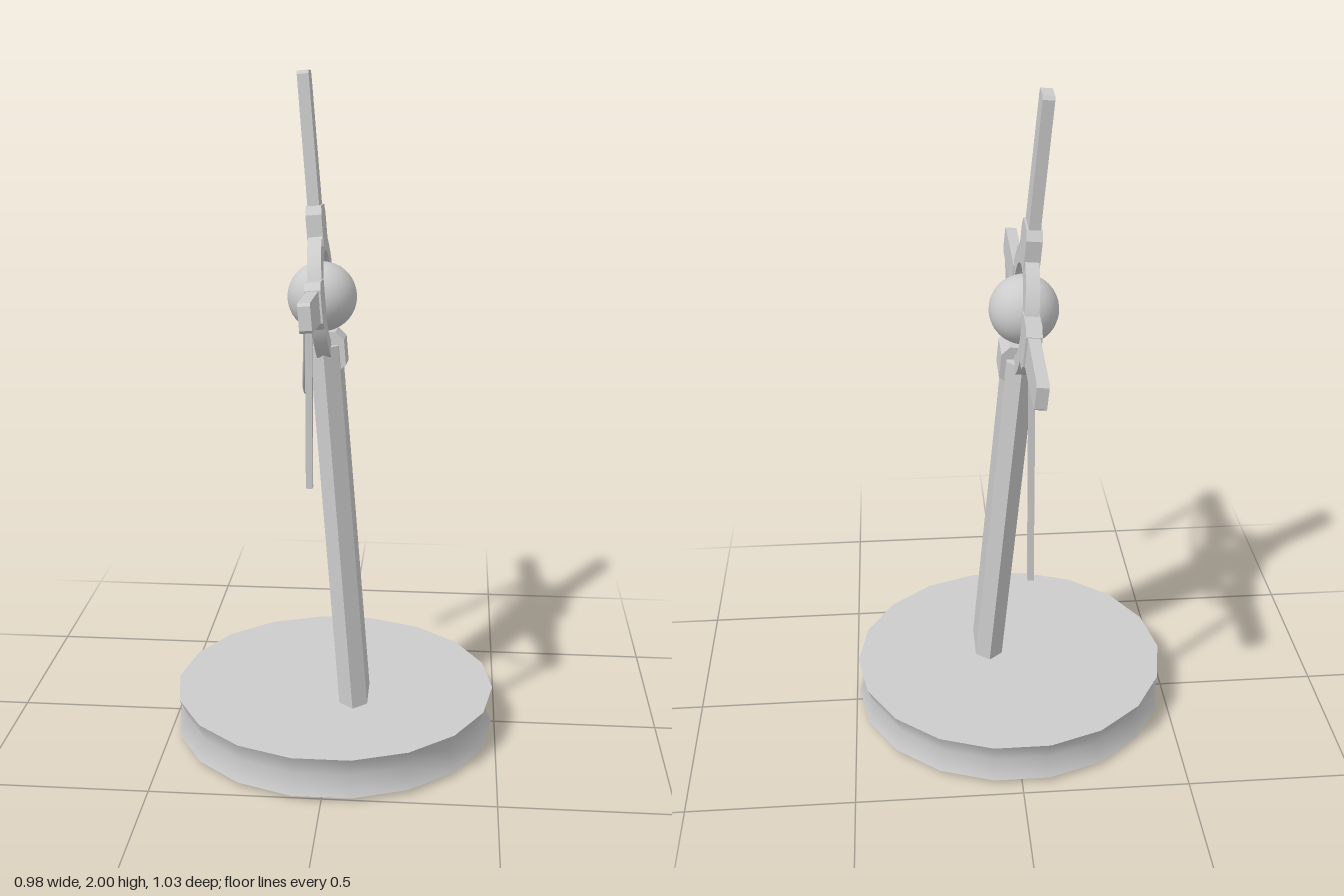
import * as THREE from 'three';
import { toCreasedNormals } from 'three/addons/utils/BufferGeometryUtils.js';

const grey = new THREE.MeshStandardMaterial({ color: 0xcccccc });
const flat = new THREE.MeshStandardMaterial({ color: 0xcccccc, flatShading: true });

function part(parent, name, geometry, material = flat) {
  const mesh = new THREE.Mesh(geometry, material);
  mesh.name = name;
  parent.add(mesh);
  return mesh;
}

// Shape in the cross plane (right = -z, up = +y), extruded evenly along x.
function slab(shape, thickness, curveSegments = 12) {
  const g = new THREE.ExtrudeGeometry(shape, { depth: thickness, bevelEnabled: false, curveSegments });
  return g.translate(0, 0, -thickness / 2).rotateY(Math.PI / 2);
}

// Mirrors a half profile of [halfWidth, radius] points about the arm's axis.
function symmetric(half) {
  const pts = [...half, ...half.map(([x, y]) => [-x, y]).reverse()];
  return new THREE.Shape(pts.map(([x, y]) => new THREE.Vector2(x, y)));
}

export function createModel() {
  const model = new THREE.Group();

  // Round waisted base
  const profile = [[0, 0.02], [0.49, 0.02], [0.465, 0.08], [0.49, 0.14], [0, 0.14]];
  const lathe = new THREE.LatheGeometry(profile.map(p => new THREE.Vector2(...p)), 18);
  const base = part(model, 'base', toCreasedNormals(lathe.rotateY(Math.PI / 2), 1), grey);
  base.position.z = 0.03;

  // Leaning cross, built around the centre of its ring
  const cross = new THREE.Group();
  cross.name = 'leaningCross';
  cross.position.set(-0.04, 1.36, -0.005);
  cross.rotation.set(-0.087, 0, 0.087);
  model.add(cross);

  part(cross, 'centreBall', new THREE.SphereGeometry(0.102, 32, 20), grey);

  // Ring
  const ring = new THREE.Shape().absarc(0, 0, 0.19, 0, Math.PI * 2);
  ring.holes.push(new THREE.Path().absarc(0, 0, 0.133, 0, Math.PI * 2, true));
  part(cross, 'ring', toCreasedNormals(slab(ring, 0.04, 24), 0.6), grey);

  // Three tapering arms with wider collars: top, left, right
  const arms = [['top', 0.645, 0], ['left', 0.5, Math.PI / 2], ['right', 0.515, -Math.PI / 2]];
  for (const [side, length, angle] of arms) {
    const arm = symmetric([[0.046, 0.16], [0.04, length - 0.01], [0.032, length]]);
    part(cross, side + 'Arm', slab(arm, 0.034)).rotation.x = -angle * -1;
    const collar = symmetric([[0.066, 0.15], [0.066, 0.24], [0.046, 0.265]]);
    part(cross, side + 'Collar', slab(collar, 0.046)).rotation.x = angle;
  }

  // Six-sided shaft
  const section = new THREE.Shape([[0.042, 0.068], [0, 0.104], [-0.042, 0.068],
    [-0.042, -0.068], [0, -0.104], [0.042, -0.068]].map(p => new THREE.Vector2(...p)));
  const shaft = new THREE.ExtrudeGeometry(section, { depth: 1.215, bevelEnabled: false });
  part(cross, 'shaft', shaft.rotateX(-Math.PI / 2)).position.y = -1.354;

  // Block clasping the ring to the shaft, chamfered at top and bottom
  const clasp = new THREE.Shape([[-0.035, -0.215], [0.035, -0.215], [0.058, -0.2],
    [0.058, -0.125], [0.035, -0.1], [-0.035, -0.1], [-0.058, -0.125], [-0.058, -0.2]]
    .map(p => new THREE.Vector2(...p)));
  const claspGeo = new THREE.ExtrudeGeometry(clasp, { depth: 0.104, bevelEnabled: false });
  part(cross, 'clasp', claspGeo.translate(0, 0, -0.052));

  // Cord draped behind the shaft from arm to arm
  const path = new THREE.CatmullRomCurve3([
    [-0.04, 1.36, 0.456], [-0.048, 1.265, 0.393], [-0.06, 1.18, 0.297], [-0.068, 1.125, 0.19],
    [-0.072, 1.105, 0.11], [-0.07, 1.1, 0.01], [-0.065, 1.115, -0.085], [-0.058, 1.153, -0.154],
    [-0.048, 1.225, -0.233], [-0.04, 1.29, -0.315]].map(p => new THREE.Vector3(...p)));
  part(model, 'drapedCord', new THREE.TubeGeometry(path, 40, 0.008, 8), grey);

  // Hanging strips
  for (const [name, z, top, bottom] of [['leftStrip', 0.457, 1.37, 0.93], ['rightStrip', -0.32, 1.31, 0.645]]) {
    const strip = part(model, name, new THREE.BoxGeometry(0.018, top - bottom, 0.021));
    strip.position.set(-0.033, (top + bottom) / 2, z);
  }
  return model;
}
